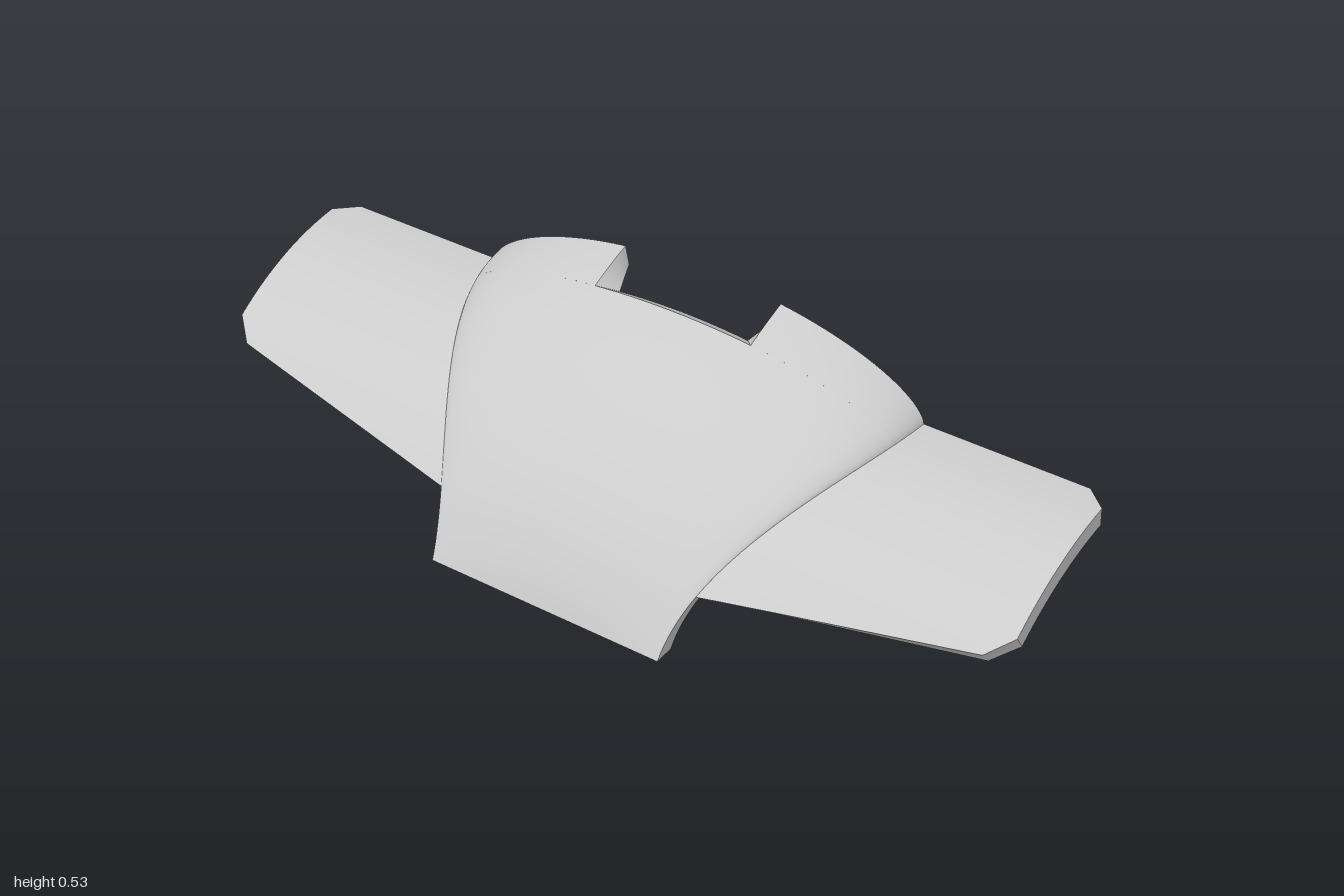
import * as THREE from 'three';

const grey = new THREE.MeshStandardMaterial({ color: 0xcccccc });
const lerp = THREE.MathUtils.lerp;

// The shell is described in polar form around a lengthwise x axis.
const AXIS_Y = -0.289, AXIS_Z = -0.295;
const RADIUS = [0.657, 0.613];           // outer, inner
const START = [0.4551, 0.491];           // angle at which each layer meets y = 0
const TOP = Math.PI / 2;

const progress = (a, layer) => (a - START[layer]) / (TOP - START[layer]);

// Half width of the raised hood
function hoodWidth(a, layer) {
  const t = progress(a, layer);
  return 0.295 + 0.265 * (0.2 * t + 0.8 * t * t * (3 - 2 * t)) - 0.03 * layer * t;
}

function polar(x, a, r) {
  return new THREE.Vector3(x, AXIS_Y + r * Math.sin(a), AXIS_Z + r * Math.cos(a));
}

function hoodPoint(x, a, layer) {
  const t = progress(a, layer);
  const u = Math.min(1, Math.abs(x) / hoodWidth(a, layer));
  const rise = 0.177 * (0.65 * t + 0.35 * t ** 3) * Math.pow(1 - u * u, 0.6);
  return polar(x, a, RADIUS[layer] + rise);
}

// Smooth grid of f(u, v), facing du x dv
function grid(f, nu, nv) {
  const pos = [], index = [];
  for (let j = 0; j <= nv; j++) {
    for (let i = 0; i <= nu; i++) {
      pos.push(...f(i / nu, j / nv).toArray());
      if (i < nu && j < nv) {
        const a = j * (nu + 1) + i, b = a + 1, d = a + nu + 1, c = d + 1;
        index.push(a, b, c, a, c, d);
      }
    }
  }
  const g = new THREE.BufferGeometry();
  g.setAttribute('position', new THREE.Float32BufferAttribute(pos, 3));
  g.setIndex(index);
  g.computeVertexNormals();
  return g;
}

// Closed slab between an outer (0) and inner (1) layer, with sharp rims
function slab(name, p, nu, nv) {
  const group = new THREE.Group();
  group.name = name;
  const add = (part, f, a, b) => {
    const mesh = new THREE.Mesh(grid(f, a, b), grey);
    mesh.name = name + part;
    group.add(mesh);
  };
  add('Outer', (u, v) => p(u, v, 0), nu, nv);
  add('Inner', (u, v) => p(1 - u, v, 1), nu, nv);
  add('FrontRim', (u, w) => p(u, 0, 1 - w), nu, 1);
  add('BackRim', (u, w) => p(1 - u, 1, 1 - w), nu, 1);
  add('LeftRim', (v, w) => p(1, v, 1 - w), nv, 1);
  add('RightRim', (v, w) => p(0, 1 - v, 1 - w), nv, 1);
  return group;
}

const mirror = (p) => (u, v, layer) => {
  const q = p(1 - u, v, layer);
  q.x *= -1;
  return q;
};

// Hood up to the sloping ledge of the rear notch
const LEDGE = [1.425, 1.477];
function hood(u, v, layer) {
  const a = lerp(START[layer], LEDGE[layer], v);
  return hoodPoint(hoodWidth(a, layer) * Math.sin((u - 0.5) * Math.PI), a, layer);
}

// Hood piece beside the notch
function hoodEar(u, v, layer) {
  const a = lerp(LEDGE[layer], TOP, v);
  const notch = layer ? lerp(0.165, 0.19, v) : 0.2;
  return hoodPoint(lerp(notch, hoodWidth(a, layer), Math.sin(u * TOP)), a, layer);
}

// Wing with a slanted front edge; the last column forms the clipped corners
const WING_COLS = 12;
function wing(u, v, layer) {
  const col = u * WING_COLS;
  const s = Math.min(1, col / (WING_COLS - 1));
  const clip = Math.max(0, col - (WING_COLS - 1));
  const frontZ = lerp(0.21, 0.125, s) - 0.045 * clip;
  const frontA = Math.acos((frontZ - AXIS_Z) / RADIUS[0]);
  const a = lerp(frontA, TOP - 0.0685 * clip, v);
  return polar(lerp(hoodWidth(a, layer), 0.95, s) + 0.05 * clip, a, RADIUS[layer]);
}

// Screw boss under the hood: rounded block with a through hole
function boss(x) {
  const r = 0.1, zc = 0.14, front = 0.22, y0 = 0.02, y1 = 0.12;
  const s = new THREE.Shape();
  s.moveTo(-r, -front);
  s.lineTo(r, -front);
  s.lineTo(r, -zc);
  s.absarc(0, -zc, r, 0, Math.PI, false);
  s.closePath();
  const hole = new THREE.Path();
  hole.absarc(0, -zc, 0.053, 0, Math.PI * 2, true);
  s.holes.push(hole);
  const g = new THREE.ExtrudeGeometry(s, { depth: y1 - y0, bevelEnabled: false, curveSegments: 24 });
  g.rotateX(-Math.PI / 2);
  g.translate(0, y0, 0);
  // slope the front end so it meets the inside of the shell
  const pos = g.attributes.position;
  for (let i = 0; i < pos.count; i++) {
    if (pos.getZ(i) > front - 0.001) pos.setZ(i, pos.getY(i) > 0.07 ? 0.195 : 0.243);
  }
  g.computeVertexNormals();
  const mesh = new THREE.Mesh(g, grey);
  mesh.position.x = x;
  mesh.name = x > 0 ? 'leftBoss' : 'rightBoss';
  return mesh;
}

export function createModel() {
  const model = new THREE.Group();
  model.name = 'wingedCover';
  model.add(
    slab('hood', hood, 48, 32),
    slab('leftHoodEar', hoodEar, 20, 6),
    slab('rightHoodEar', mirror(hoodEar), 20, 6),
    slab('leftWing', wing, WING_COLS, 28),
    slab('rightWing', mirror(wing), WING_COLS, 28),
    boss(0.14),
    boss(-0.14)
  );
  return model;
}
